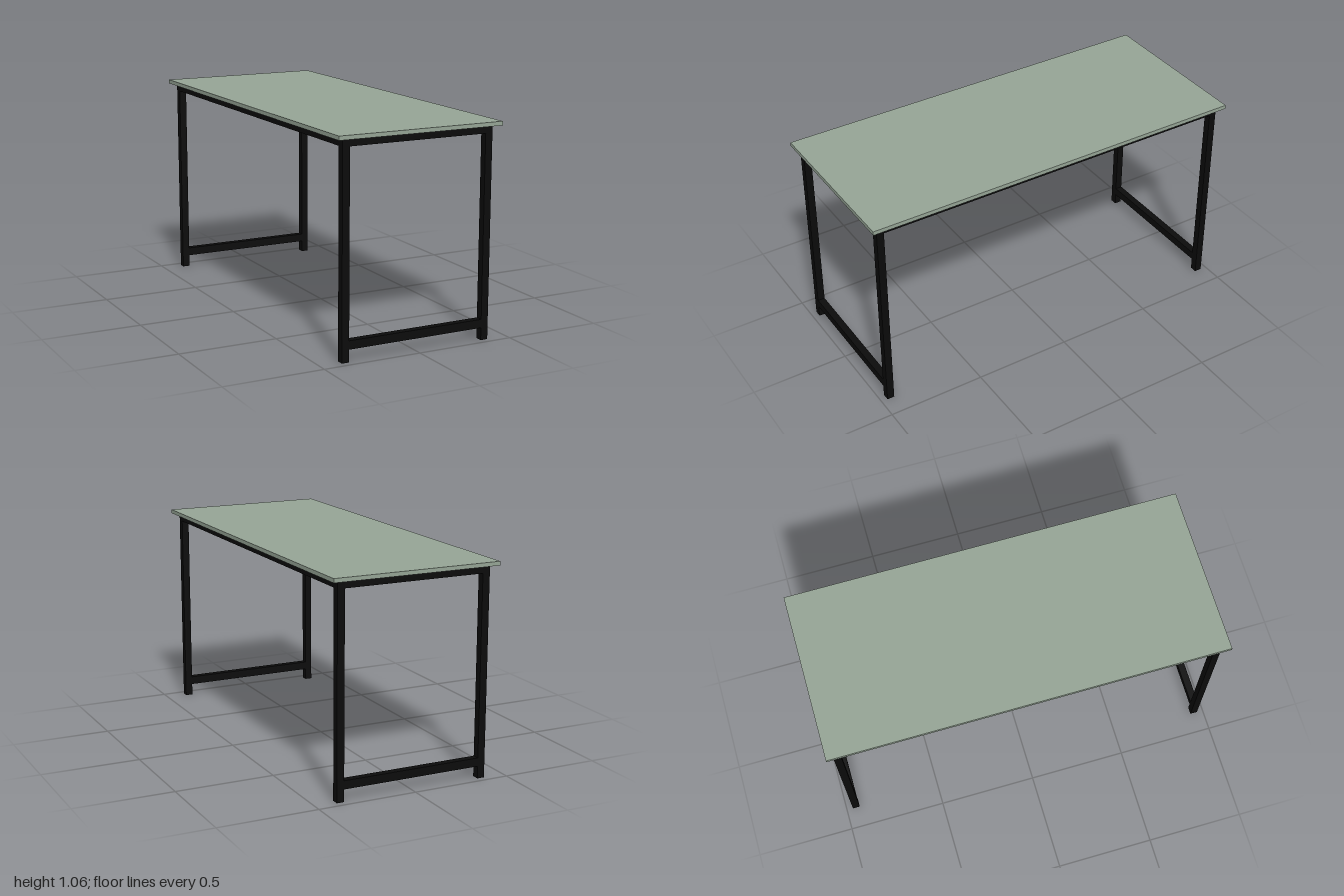
import * as THREE from 'three';

const TUBE = 0.037;            // square tube size
const LEG_X = 0.375, LEG_Z = 0.949; // leg centre lines
const FRAME_TOP = 1.036;
const TOP_THICKNESS = 0.02;

export function createModel() {
  const group = new THREE.Group();
  group.name = 'table';
  const frameMaterial = new THREE.MeshStandardMaterial({ color: 0x0b0b0b });
  const topMaterial = new THREE.MeshStandardMaterial({ color: 0x95a495 });

  const addBox = (name, material, [w, h, d], [x, y, z]) => {
    const mesh = new THREE.Mesh(new THREE.BoxGeometry(w, h, d), material);
    mesh.name = name;
    mesh.position.set(x, y, z);
    group.add(mesh);
  };

  // Thin overhanging table top
  addBox('tableTop', topMaterial, [0.856, TOP_THICKNESS, 2], [0, FRAME_TOP + TOP_THICKNESS / 2, 0]);

  const railY = FRAME_TOP - TUBE / 2;
  const spanX = 2 * LEG_X - TUBE;
  const spanZ = 2 * LEG_Z - TUBE;

  for (const [zName, sz] of [['front', 1], ['back', -1]]) {
    // Legs at the corners
    for (const [xName, sx] of [['Left', 1], ['Right', -1]]) {
      addBox(`${zName}${xName}Leg`, frameMaterial, [TUBE, FRAME_TOP, TUBE], [sx * LEG_X, FRAME_TOP / 2, sz * LEG_Z]);
    }
    // Short rails: one under the top, one stretcher near the floor
    addBox(`${zName}TopRail`, frameMaterial, [spanX, TUBE, TUBE], [0, railY, sz * LEG_Z]);
    addBox(`${zName}Stretcher`, frameMaterial, [spanX, 0.042, TUBE], [0, 0.082, sz * LEG_Z]);
  }

  // Long rails under the top
  for (const [name, sx] of [['leftLongRail', 1], ['rightLongRail', -1]]) {
    addBox(name, frameMaterial, [TUBE, TUBE, spanZ], [sx * LEG_X, railY, 0]);
  }

  return group;
}
